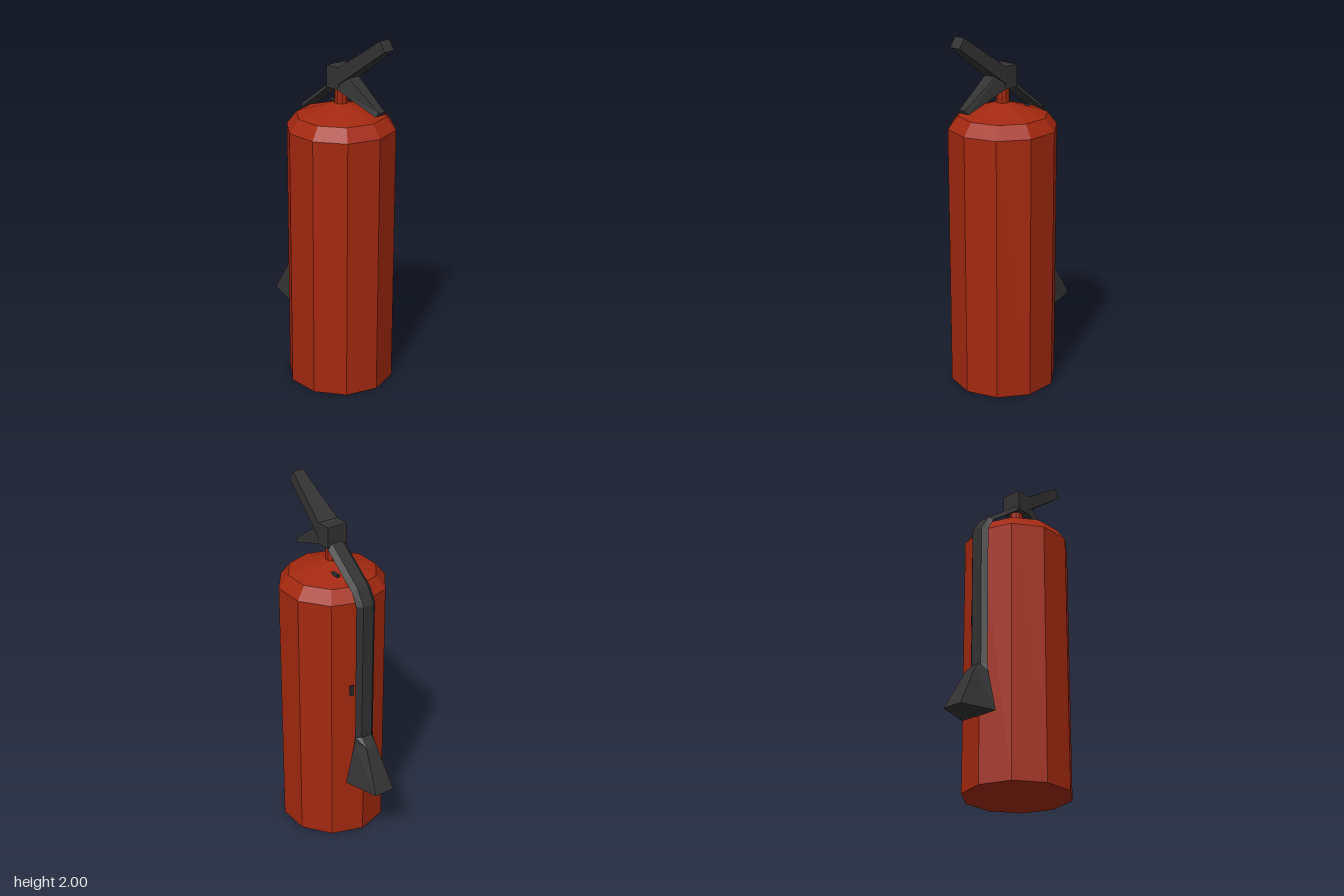
import * as THREE from 'three';

const red = new THREE.MeshStandardMaterial({ color: 0xa3280f });
red.name = 'red paint';
red.flatShading = true;
const black = new THREE.MeshStandardMaterial({ color: 0x323232 });
black.name = 'black rubber';
black.flatShading = true;

// Joins four-sided sections, each [z1, y1, halfWidth1, z2, y2, halfWidth2].
function loft(sections) {
  const rings = sections.map(([z1, y1, w1, z2, y2, w2]) => [
    [-w1, y1, z1], [w1, y1, z1], [w2, y2, z2], [-w2, y2, z2],
  ]);
  const pos = [];
  const quad = (a, b, c, d) => pos.push(...a, ...b, ...c, ...a, ...c, ...d);
  for (let s = 0; s < rings.length - 1; s++) {
    const a = rings[s], b = rings[s + 1];
    for (let i = 0; i < 4; i++) {
      const j = (i + 1) % 4;
      quad(a[i], b[i], b[j], a[j]);
    }
  }
  quad(...rings[0]);
  quad(...rings[rings.length - 1].slice().reverse());
  const geo = new THREE.BufferGeometry();
  geo.setAttribute('position', new THREE.Float32BufferAttribute(pos, 3));
  geo.computeVertexNormals();
  return geo;
}

export function createModel() {
  const group = new THREE.Group();
  const add = (name, geo, mat, x = 0, y = 0, z = 0) => {
    const mesh = new THREE.Mesh(geo, mat);
    mesh.name = name;
    mesh.position.set(x, y, z);
    group.add(mesh);
    return mesh;
  };

  // Ten-sided tank with bevelled shoulder and neck
  const profile = [[0, 0], [0.298, 0], [0.298, 1.47], [0.244, 1.54], [0.037, 1.605], [0.037, 1.7], [0, 1.7]];
  add('tank', new THREE.LatheGeometry(profile.map(([r, y]) => new THREE.Vector2(r, y)), 10), red, 0, 0, 0.075);

  // Valve block
  add('valveBlock', new THREE.BoxGeometry(0.12, 0.12, 0.09), black, 0, 1.75, 0.073);

  // Squeeze levers
  add('upperLever', loft([
    [0.115, 1.81, 0.06, 0.115, 1.72, 0.06],
    [0.395, 2.0, 0.033, 0.43, 1.948, 0.033],
  ]), black);
  add('lowerLever', loft([
    [0.115, 1.80, 0.04, 0.115, 1.69, 0.06],
    [0.385, 1.617, 0.02, 0.37, 1.595, 0.033],
  ]), black);

  // Hose bending over the shoulder and down the back
  add('hose', loft([
    [0.035, 1.69, 0.06, 0.03, 1.717, 0.033],
    [-0.188, 1.525, 0.06, -0.2, 1.548, 0.033],
    [-0.228, 1.455, 0.06, -0.255, 1.46, 0.033],
    [-0.226, 0.65, 0.06, -0.25, 0.65, 0.033],
  ]), black);

  // Flared nozzle
  add('nozzle', loft([
    [-0.226, 0.65, 0.06, -0.25, 0.65, 0.033],
    [-0.226, 0.605, 0.065, -0.296, 0.605, 0.033],
    [-0.226, 0.37, 0.12, -0.425, 0.37, 0.06],
  ]), black);

  // Small hose clips
  add('shoulderClip', new THREE.BoxGeometry(0.018, 0.015, 0.05), black, 0.069, 1.58, -0.055);
  add('sideClip', new THREE.BoxGeometry(0.02, 0.06, 0.015), black, 0.068, 0.945, -0.204);

  return group;
}
